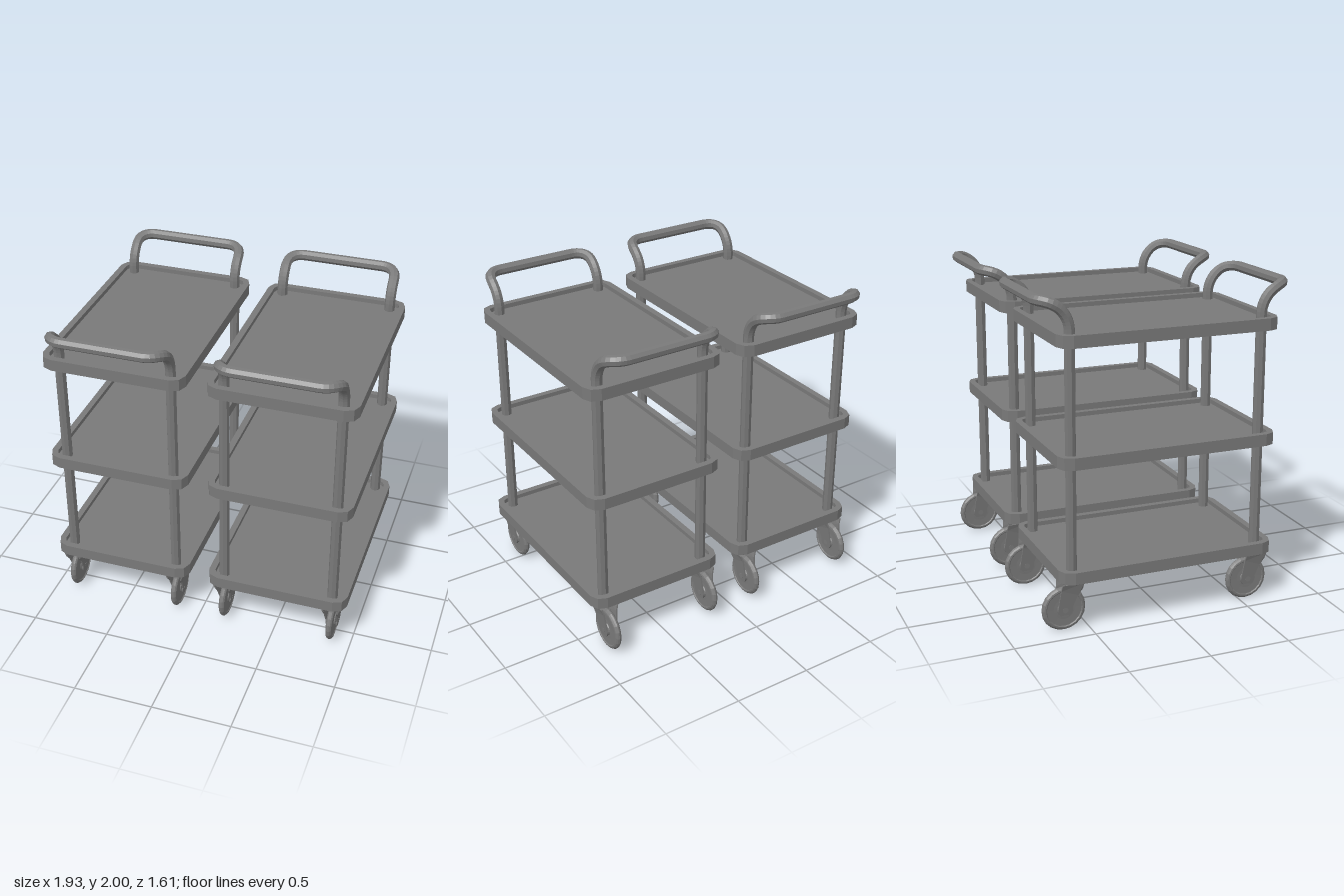
import * as THREE from 'three';

const material = new THREE.MeshStandardMaterial({ color: 0x797979, flatShading: true });

function add(parent, name, geometry, x = 0, y = 0, z = 0) {
  const mesh = new THREE.Mesh(geometry, material);
  mesh.name = name;
  mesh.position.set(x, y, z);
  parent.add(mesh);
  return mesh;
}

const POST_X = 0.3525, POST_Z = 0.6, AXLE_Y = 0.137, TUBE_R = 0.033;
const TRAY_Y = [0.314, 1.01, 1.713], TRAY_H = 0.073;

// Rectangle with rounded corners, in plan
function trayOutline(hw, hd, r, Type = THREE.Shape) {
  const s = new Type();
  [[1, 1, 0], [-1, 1, 1], [-1, -1, 2], [1, -1, 3]].forEach(([sx, sy, q]) => {
    s.absarc(sx * (hw - r), sy * (hd - r), r, q * Math.PI / 2, (q + 1) * Math.PI / 2, false);
  });
  s.closePath();
  return s;
}

// An arc is split into twice curveSegments, so 1 gives two facets per corner
function slab(shape, depth) {
  return new THREE.ExtrudeGeometry(shape, { depth, bevelEnabled: false, curveSegments: 1 }).rotateX(-Math.PI / 2);
}

// Tray: raised rim around a thin recessed floor
function createTray() {
  const tray = new THREE.Group();
  tray.name = 'tray';
  const rim = trayOutline(0.45, 0.688, 0.078);
  rim.holes.push(trayOutline(0.41, 0.648, 0.04, THREE.Path));
  add(tray, 'trayRim', slab(rim, TRAY_H));
  add(tray, 'trayFloor', slab(trayOutline(0.412, 0.65, 0.04), 0.035), 0, 0.01, 0);
  return tray;
}

// Handle: rises from one post, sweeps outward, crosses over and returns
function handleGeometry() {
  const bend = 0.173, corner = 0.1, steps = 6, half = [];
  const place = (inset, out) => half.push(new THREE.Vector3(
    POST_X - inset, 1.794 + Math.sqrt(bend * bend - (bend - out) ** 2), POST_Z + out));
  half.push(new THREE.Vector3(POST_X, 1.74, POST_Z), new THREE.Vector3(POST_X, 1.77, POST_Z));
  const turn = Math.acos(corner / bend);
  for (let i = 0; i < steps; i++) place(0, bend * (1 - Math.cos(turn * i / steps)));
  for (let i = 0; i <= steps; i++) {
    const a = i / steps * Math.PI / 2;
    place(corner * (1 - Math.cos(a)), bend - corner + corner * Math.sin(a));
  }
  for (const inset of [0.125, 0.2]) place(inset, bend);
  const other = half.map(p => new THREE.Vector3(-p.x, p.y, p.z)).reverse();
  const path = new THREE.CatmullRomCurve3([...half, ...other], false, 'centripetal');
  return new THREE.TubeGeometry(path, 56, TUBE_R, 8, false);
}

// Wheel: rounded tyre, flat disc and raised hub, spun about the axle
function wheelGeometry() {
  const side = [[0, 0.022], [0.04, 0.022], [0.044, 0.015], [0.065, 0.014], [0.108, 0.015],
    [0.114, 0.02], [0.124, 0.018], [0.133, 0.01]];
  const profile = [
    ...side.map(([r, h]) => new THREE.Vector2(r, -h)),
    new THREE.Vector2(AXLE_Y, 0),
    ...side.slice().reverse().map(([r, h]) => new THREE.Vector2(r, h)),
  ];
  return new THREE.LatheGeometry(profile, 20).rotateZ(Math.PI / 2);
}

// Fork arm: side profile around the axle, flared outward toward the top
function forkArmGeometry(side) {
  const s = new THREE.Shape();
  s.moveTo(0.11, 0.302);
  s.lineTo(-0.022, 0.302);
  s.lineTo(-0.028, 0.265);
  s.lineTo(-0.043, 0.155);
  s.absarc(0, AXLE_Y, 0.046, Math.PI * 0.9, Math.PI * 2.1, false);
  s.lineTo(0.075, 0.225);
  s.lineTo(0.105, 0.265);
  s.closePath();
  const g = new THREE.ExtrudeGeometry(s, { depth: 0.01, bevelEnabled: false, curveSegments: 10 });
  g.translate(0, 0, -0.005).rotateY(-Math.PI / 2);
  const p = g.attributes.position;
  for (let i = 0; i < p.count; i++) {
    const y = p.getY(i);
    const spread = y > 0.264 ? 0.044 + (y - 0.264) * 0.3 : 0.03 + Math.max(0, y - 0.1) * 0.085;
    p.setX(i, p.getX(i) + side * spread);
  }
  g.computeVertexNormals();
  return g;
}

// Caster: the wheel trails behind its swivel
function createCaster() {
  const caster = new THREE.Group();
  caster.name = 'caster';
  add(caster, 'wheel', wheelGeometry(), 0, AXLE_Y, 0);
  add(caster, 'axle', new THREE.CylinderGeometry(0.018, 0.018, 0.08, 10).rotateZ(Math.PI / 2), 0, AXLE_Y, 0);
  for (const side of [1, -1]) add(caster, 'forkArm', forkArmGeometry(side));
  add(caster, 'forkCrown', new THREE.CylinderGeometry(0.072, 0.06, 0.024, 12), 0, 0.304, 0.053);
  return caster;
}

function createCart() {
  const cart = new THREE.Group();
  for (const y of TRAY_Y) {
    const tray = createTray();
    tray.position.y = y;
    cart.add(tray);
  }
  // Posts and casters at the four corners
  for (const sx of [1, -1]) for (const sz of [1, -1]) {
    add(cart, 'post', new THREE.CylinderGeometry(TUBE_R, TUBE_R, 1.42, 8), sx * POST_X, 1.05, sz * POST_Z);
    const caster = createCaster();
    caster.position.set(sx * POST_X, 0, sz * POST_Z - 0.053);
    cart.add(caster);
  }
  // Handles at both ends
  add(cart, 'frontHandle', handleGeometry());
  add(cart, 'backHandle', handleGeometry()).rotation.y = Math.PI;
  return cart;
}

export function createModel() {
  const model = new THREE.Group();
  model.name = 'serviceCarts';
  for (const sx of [1, -1]) {
    const cart = createCart();
    cart.name = sx > 0 ? 'leftCart' : 'rightCart';
    cart.position.x = sx * 0.516;
    model.add(cart);
  }
  return model;
}
